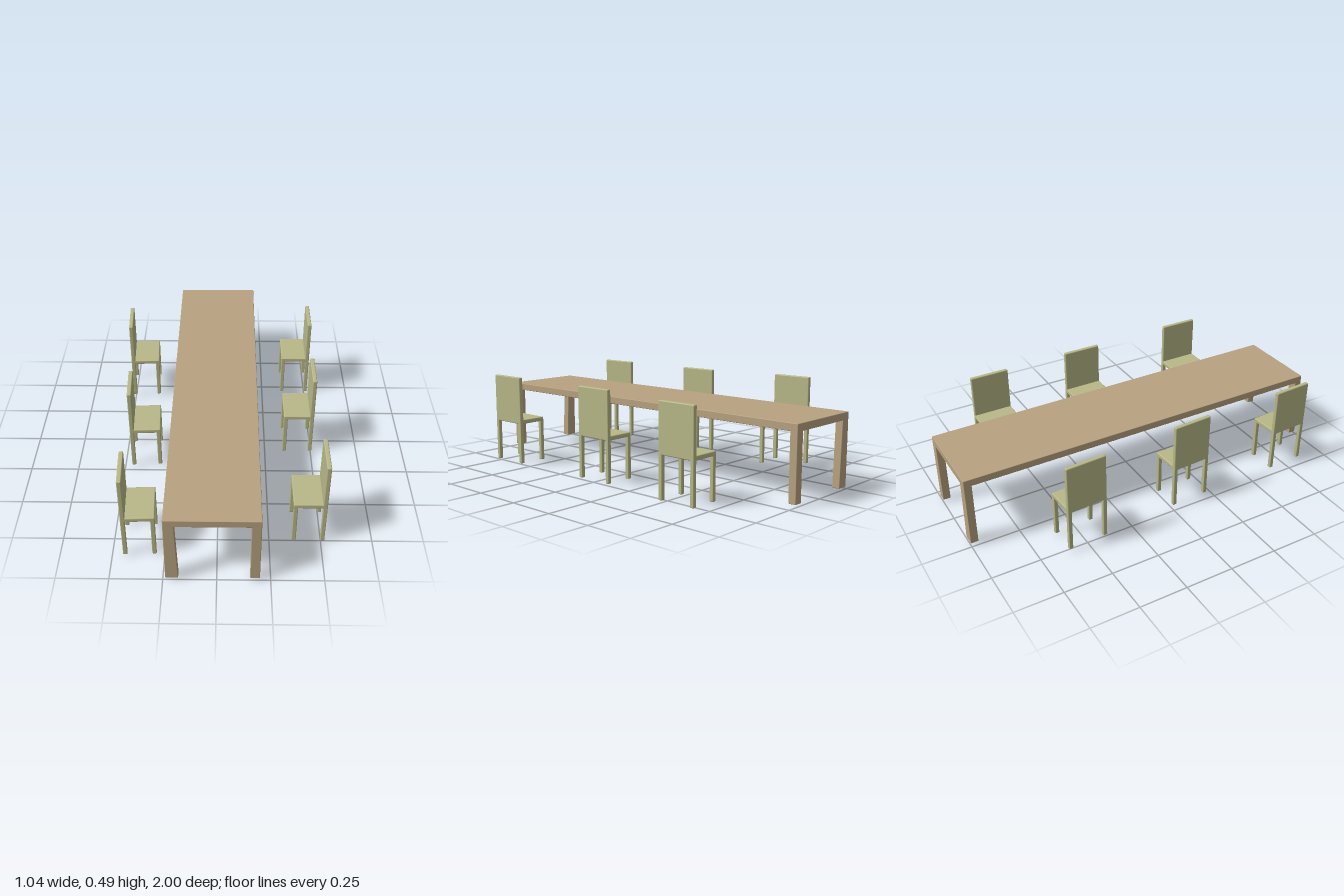
import * as THREE from 'three';
import { RoundedBoxGeometry } from 'three/addons/geometries/RoundedBoxGeometry.js';

const wood = new THREE.MeshStandardMaterial({ color: 0xb8a280 });
const fabric = new THREE.MeshStandardMaterial({ color: 0xb8b888 });

// Softly rounded block given by its min and max corners
function block(name, min, max, material, radius = 0.004) {
  const size = max.map((v, i) => v - min[i]);
  const mesh = new THREE.Mesh(new RoundedBoxGeometry(...size, 2, radius), material);
  mesh.position.set(...min.map((v, i) => (v + max[i]) / 2));
  mesh.name = name;
  return mesh;
}

function createTable() {
  const table = new THREE.Group();
  table.name = 'table';
  table.add(block('tableTop', [-0.239, 0.345, -1], [0.2, 0.383, 1], wood, 0.003));

  for (const z of [-1, 0.96]) {
    table.add(block('tableLeg', [0.155, 0.012, z], [0.2, 0.36, z + 0.04], wood, 0.003));

    // These legs widen slightly inwards towards the floor
    const flared = block('flaredTableLeg', [-0.239, 0.012, z], [-0.19, 0.36, z + 0.04], wood, 0.003);
    const p = flared.geometry.attributes.position;
    for (let i = 0; i < p.count; i++) {
      if (p.getX(i) > 0) p.setX(i, p.getX(i) + 0.012 * (0.5 - p.getY(i) / 0.348));
    }
    flared.geometry.computeVertexNormals();
    table.add(flared);
  }
  return table;
}

// Chair centred on its footprint, its back on the +x side
function createChair() {
  const chair = new THREE.Group();
  chair.name = 'chair';
  const dx = 0.08, dz = 0.106, leg = 0.021;
  chair.add(block('seat', [-dx, 0.216, -dz], [dx, 0.239, dz], fabric, 0.005));
  chair.add(block('backrest', [dx - 0.022, 0.216, -dz], [dx, 0.469, dz], fabric, 0.005));
  for (const x of [-dx, dx - leg]) {
    for (const z of [-dz, dz - leg]) {
      chair.add(block('chairLeg', [x, 0, z], [x + leg, 0.228, z + leg], fabric));
    }
  }
  return chair;
}

export function createModel() {
  const model = new THREE.Group();
  model.name = 'diningSet';
  model.add(createTable());

  // x, floor height, z and turn of each chair
  const places = [
    [0.438, 0, -0.564, 0],
    [0.425, 0.011, -0.008, 0],
    [0.438, 0.011, 0.654, 0],
    [-0.437, 0.018, -0.505, Math.PI + 0.05],
    [-0.389, 0.011, 0.113, Math.PI + 0.05],
    [-0.373, 0.01, 0.75, Math.PI + 0.05],
  ];
  for (const [x, y, z, turn] of places) {
    const chair = createChair();
    chair.position.set(x, y, z);
    chair.rotation.y = turn;
    model.add(chair);
  }
  return model;
}
